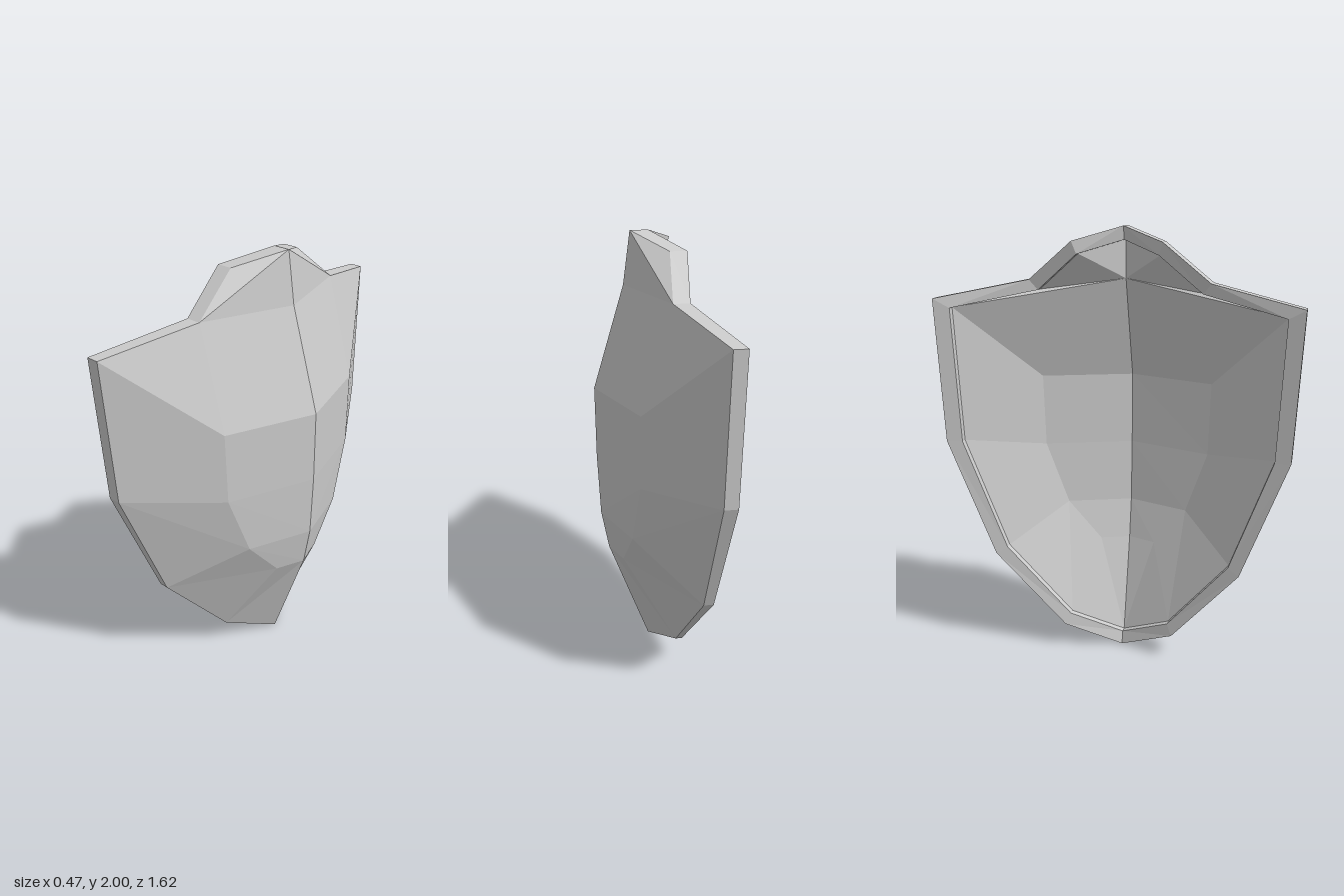
import * as THREE from 'three';

// Points are [x, y, z] on the +z half; the shield's convex face looks along +x.
// Outline from top centre round to the bottom tip.
const outline = [
  [0.07, 2.0, 0], [-0.065, 1.94, 0.2], [-0.04, 1.77, 0.405], [-0.18, 1.69, 0.81],
  [-0.175, 1.04, 0.78], [-0.155, 0.49, 0.575], [-0.1, 0.12, 0.26], [-0.01, 0, 0],
];
// Back x of the same outline points
const backX = [-0.01, -0.138, -0.11, -0.24, -0.235, -0.2, -0.13, -0.04];
// Central ridge, top to bottom, and the corners of the raised middle panel
const spine = [[0.1, 1.77, 0], [0.235, 1.31, 0], [0.23, 0.98, 0], [0.215, 0.69, 0], [0.18, 0.505, 0]];
const panel = [[0.09, 1.31, 0.41], [0.09, 0.98, 0.4], [0.11, 0.69, 0.295], [0.13, 0.505, 0.135]];

// Facets spanning outline o, spine s and panel p, anticlockwise from +x
const facets = (o, s, p) => [
  [o[0], o[1], o[2], s[0]],
  [o[2], o[3], p[0], s[1], s[0]],
  [o[3], o[4], p[1], p[0]],
  [o[4], o[5], p[2], p[1]],
  [o[5], o[6], p[3], p[2]],
  [o[6], o[7], s[4], p[3]],
  ...[0, 1, 2].map((i) => [p[i], p[i + 1], s[i + 2], s[i + 1]]),
];

// Quads joining two rows of points
const strip = (a, b) => a.slice(1).map((_, i) => [a[i], b[i], b[i + 1], a[i + 1]]);

// Fan each polygon into triangles and mirror it across z = 0
function facetMesh(name, polygons) {
  const positions = [];
  const mirror = ([x, y, z]) => [x, y, -z];
  for (const poly of polygons) {
    for (let i = 1; i < poly.length - 1; i++) {
      const [a, b, c] = [poly[0], poly[i], poly[i + 1]];
      positions.push(...a, ...b, ...c, ...mirror(a), ...mirror(c), ...mirror(b));
    }
  }
  const geometry = new THREE.BufferGeometry();
  geometry.setAttribute('position', new THREE.Float32BufferAttribute(positions, 3));
  geometry.computeVertexNormals();
  const mesh = new THREE.Mesh(geometry, new THREE.MeshStandardMaterial({ color: 0xcccccc, flatShading: true }));
  mesh.name = name;
  return mesh;
}

export function createModel() {
  const shield = new THREE.Group();
  shield.name = 'shield';

  // Rim rows: back edge, its inset inner edge, and the foot of the step
  const back = outline.map(([, y, z], i) => [backX[i], y, z]);
  const inset = back.map(([x, y, z]) => [x + 0.015, 1 + (y - 1) * 0.94, z * 0.91]);
  const step = inset.map(([x, y, z]) => [x + 0.03, y, z]);

  // Hollow side follows the front at a small depth
  const sink = ([x, y, z]) => [x - 0.06, y, z * 0.97];

  shield.add(
    facetMesh('frontFace', facets(outline, spine, panel)),
    facetMesh('outerEdge', strip(outline, back)),
    facetMesh('backRim', strip(back, inset)),
    facetMesh('rimStep', strip(inset, step)),
    facetMesh('hollowBack', facets(step, spine.map(sink), panel.map(sink)).map((p) => p.reverse())),
  );
  return shield;
}
